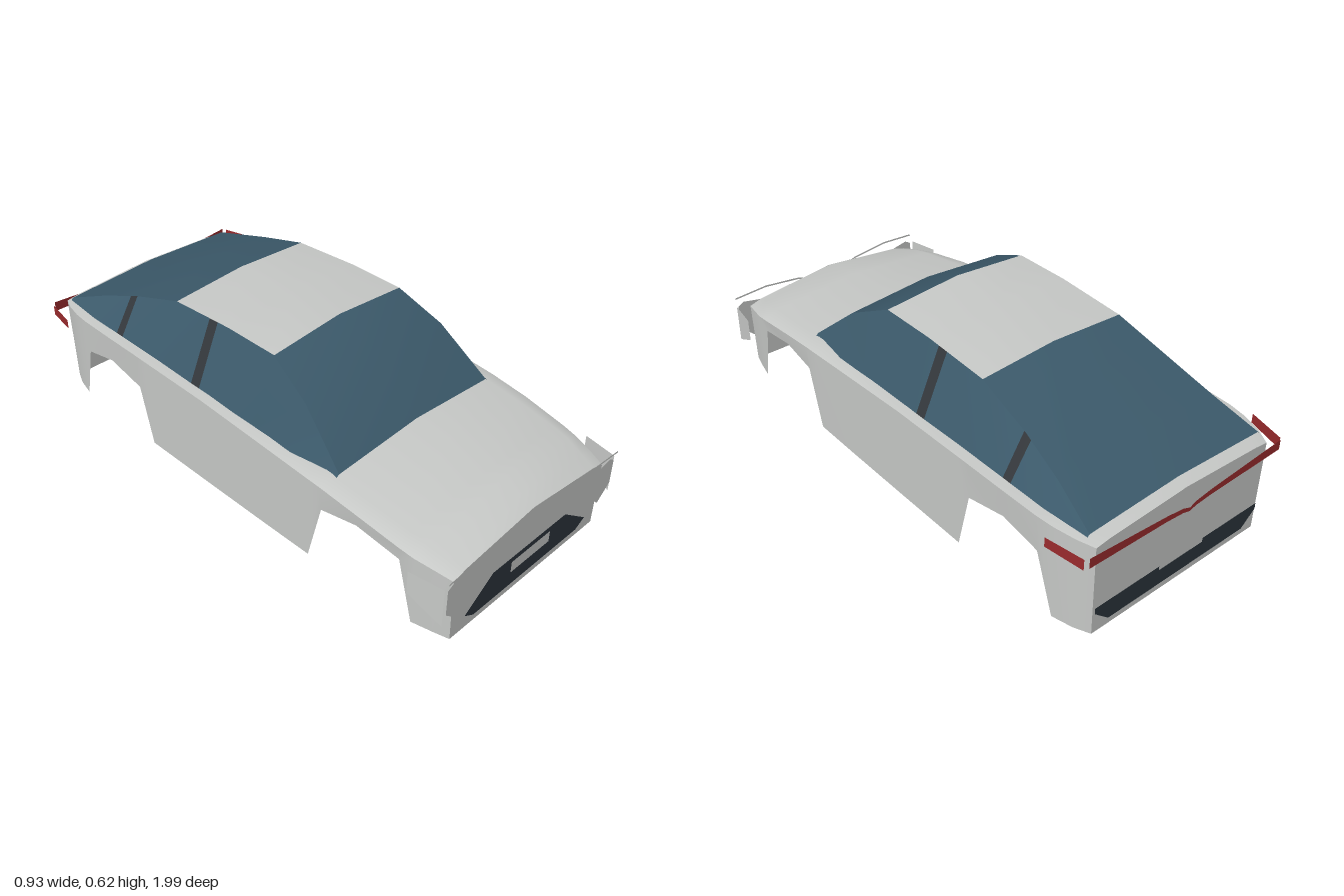
import * as THREE from 'three';

const mat = (name, color) => {
  const m = new THREE.MeshStandardMaterial({ color, side: THREE.DoubleSide });
  m.name = name;
  return m;
};

// Skin stretched over rows of [x, y, z] points
function loft(rows) {
  const n = rows[0].length, index = [];
  for (let i = 0; i < rows.length - 1; i++) {
    for (let j = 0; j < n - 1; j++) {
      const a = i * n + j, b = a + n;
      index.push(a, b, a + 1, b, b + 1, a + 1);
    }
  }
  const g = new THREE.BufferGeometry();
  g.setAttribute('position', new THREE.Float32BufferAttribute(rows.flat(2), 3));
  g.setIndex(index);
  g.computeVertexNormals();
  return g;
}

// Flat polygon facing +z or -z; half outlines are mirrored about x = 0
const mirrored = (half) => [...half, ...half.slice().reverse().map(([x, y]) => [-x, y])];
function plate(points, z) {
  const g = new THREE.ShapeGeometry(new THREE.Shape(points.map(([x, y]) => new THREE.Vector2(x, y))));
  if (z < 0) g.rotateY(Math.PI);
  return g.translate(0, 0, z);
}

// Body stations: z, half width, lower edge, shoulder height, centre height
const BODY = [
  [0.975, 0.38, 0, 0.25, 0.303],
  [0.92, 0.395, 0, 0.263, 0.322],
  [0.845, 0.413, 0, 0.277, 0.334],
  [0.79, 0.419, 0.235, 0.287, 0.341],
  [0.62, 0.429, 0.265, 0.314, 0.36],
  [0.47, 0.433, 0.235, 0.331, 0.374],
  [0.41, 0.434, 0, 0.335, 0.376],
  [0.2, 0.436, 0, 0.349, 0.378],
  [-0.1, 0.437, 0, 0.366, 0.378],
  [-0.41, 0.437, 0, 0.37, 0.38],
  [-0.465, 0.437, 0.23, 0.371, 0.38],
  [-0.63, 0.436, 0.265, 0.371, 0.382],
  [-0.78, 0.432, 0.23, 0.369, 0.384],
  [-0.845, 0.424, 0, 0.366, 0.385],
  [-0.92, 0.405, 0, 0.36, 0.382],
  [-0.975, 0.38, 0, 0.352, 0.375],
];

// Cabin stations: z, roof half width, roof edge height, centre height, base half width, base height
const CABIN = [
  [0.487, 0.365, 0.355, 0.38, 0.4, 0.33],
  [0.3, 0.33, 0.515, 0.54, 0.4, 0.341],
  [0.125, 0.3, 0.598, 0.622, 0.4, 0.353],
  [-0.1, 0.3, 0.598, 0.62, 0.4, 0.368],
  [-0.375, 0.3, 0.58, 0.598, 0.4, 0.375],
  [-0.6, 0.317, 0.51, 0.528, 0.4, 0.376],
  [-0.77, 0.34, 0.447, 0.463, 0.398, 0.374],
  [-0.94, 0.375, 0.378, 0.395, 0.382, 0.37],
];

function cabinAt(z) {
  let i = 0;
  while (i < CABIN.length - 2 && z < CABIN[i + 1][0]) i++;
  const [a, b] = [CABIN[i], CABIN[i + 1]];
  const t = (z - a[0]) / (b[0] - a[0]);
  return a.map((v, k) => v + (b[k] - v) * t);
}

// All cabin stations from one z back to another, ends included
const cabinRange = (z0, z1) => [
  cabinAt(z0), ...CABIN.filter((s) => s[0] < z0 - 1e-4 && s[0] > z1 + 1e-4), cabinAt(z1),
];

export function createModel() {
  const paint = mat('silver paint', 0xc8cac8);
  const glass = mat('blue glass', 0x3c5a6b);
  const trim = mat('dark pillar', 0x33373b);
  const black = mat('grille black', 0x2c353d);
  const red = mat('tail light red', 0x9a2b2d);

  const car = new THREE.Group();
  car.name = 'car';
  const add = (name, geometry, material) => {
    const mesh = new THREE.Mesh(geometry, material);
    mesh.name = name;
    car.add(mesh);
  };

  // Body shell: crowned deck, side walls with wheel arches, end panels
  add('bodyDeck', loft(BODY.map(([z, w, , e, c]) => {
    const shoulder = e + (c - e) * (Math.abs(z) > 0.9 ? 0.3 : 0.45);
    return [[w, e, z], [w * 0.86, shoulder, z], [0, c, z], [-w * 0.86, shoulder, z], [-w, e, z]];
  })), paint);
  for (const s of [1, -1]) {
    add('bodySide', loft(BODY.map(([z, w, low, e]) => [[s * (w - 0.006), low, z], [s * w, e, z]])), paint);
  }
  const endPanel = ([, w, low, e, c]) => mirrored([[w - 0.006, low], [w, e], [w * 0.86, e + (c - e) * 0.3], [0.001, c]]);
  add('frontPanel', plate(endPanel(BODY[0]), 0.975), paint);
  add('rearPanel', plate(endPanel(BODY[BODY.length - 1]), -0.975), paint);

  // Windscreen, roof and rear window
  const top = (z0, z1) => loft(cabinRange(z0, z1).map(([z, x, e, c]) => [[x, e, z], [0, c, z], [-x, e, z]]));
  add('windscreen', top(0.487, 0.125), glass);
  add('roof', top(0.125, -0.375), paint);
  add('rearWindow', top(-0.375, -0.94), glass);

  // Side windows split by dark pillars
  const bands = [
    ['frontSideWindow', 0.487, -0.155, glass],
    ['centrePillar', -0.155, -0.197, trim],
    ['rearSideWindow', -0.197, -0.59, glass],
    ['rearPillar', -0.59, -0.625, trim],
    ['quarterWindow', -0.625, -0.94, glass],
  ];
  for (const s of [1, -1]) {
    for (const [name, z0, z1, material] of bands) {
      add(name, loft(cabinRange(z0, z1).map(([z, x, e, , bx, by]) => [[s * bx, by, z], [s * x, e, z]])), material);
    }
  }

  // Grilles and blank plates
  add('frontGrille', plate(mirrored([[0.27, 0.033], [0.315, 0.06], [0.188, 0.155]]), 0.98), black);
  add('frontPlate', plate(mirrored([[0.1, 0.098], [0.1, 0.143]]), 0.985), paint);
  add('rearGrille', plate(mirrored([[0.31, 0.03], [0.37, 0.085], [0.37, 0.108]]), -0.98), black);
  add('rearPlate', plate(mirrored([[0.1, 0.1], [0.1, 0.147]]), -0.985), paint);

  // Thin strip dipping across the nose
  const nose = [[0.43, 0.293], [0.29, 0.301], [0.14, 0.283], [0.001, 0.235]];
  add('noseStrip', loft(mirrored(nose).map(([x, y]) => [[x, y - 0.007, 0.997], [x, y, 0.997]])), paint);

  // Red strip dipping across the tail
  const tail = [[0.425, 0.315, 0.354], [0.1, 0.306, 0.328], [0.03, 0.3, 0.318], [0, 0.292, 0.306]];
  const tailRows = [...tail, ...tail.slice(0, 3).reverse().map(([x, a, b]) => [-x, a, b])];
  add('tailStrip', loft(tailRows.map(([x, a, b]) => [[x, a, -0.995], [x, b, -0.995]])), red);

  // Headlights and the light panels that wrap round the corners
  for (const s of [1, -1]) {
    const lamp = [[0.425, 0.255], [0.4, 0.27], [0.255, 0.24], [0.3, 0.16], [0.365, 0.1], [0.425, 0.155]];
    add('headlight', plate(lamp.map(([x, y]) => [s * x, y]), 0.99), paint);
    add('sideHeadlight', loft([
      [[s * 0.455, 0.175, 0.86], [s * 0.455, 0.264, 0.86]],
      [[s * 0.434, 0.11, 0.985], [s * 0.434, 0.262, 0.985]],
    ]), paint);
    add('sideTailLight', loft([
      [[s * 0.465, 0.32, -0.85], [s * 0.465, 0.356, -0.85]],
      [[s * 0.437, 0.308, -0.985], [s * 0.437, 0.35, -0.985]],
    ]), red);
  }
  return car;
}
